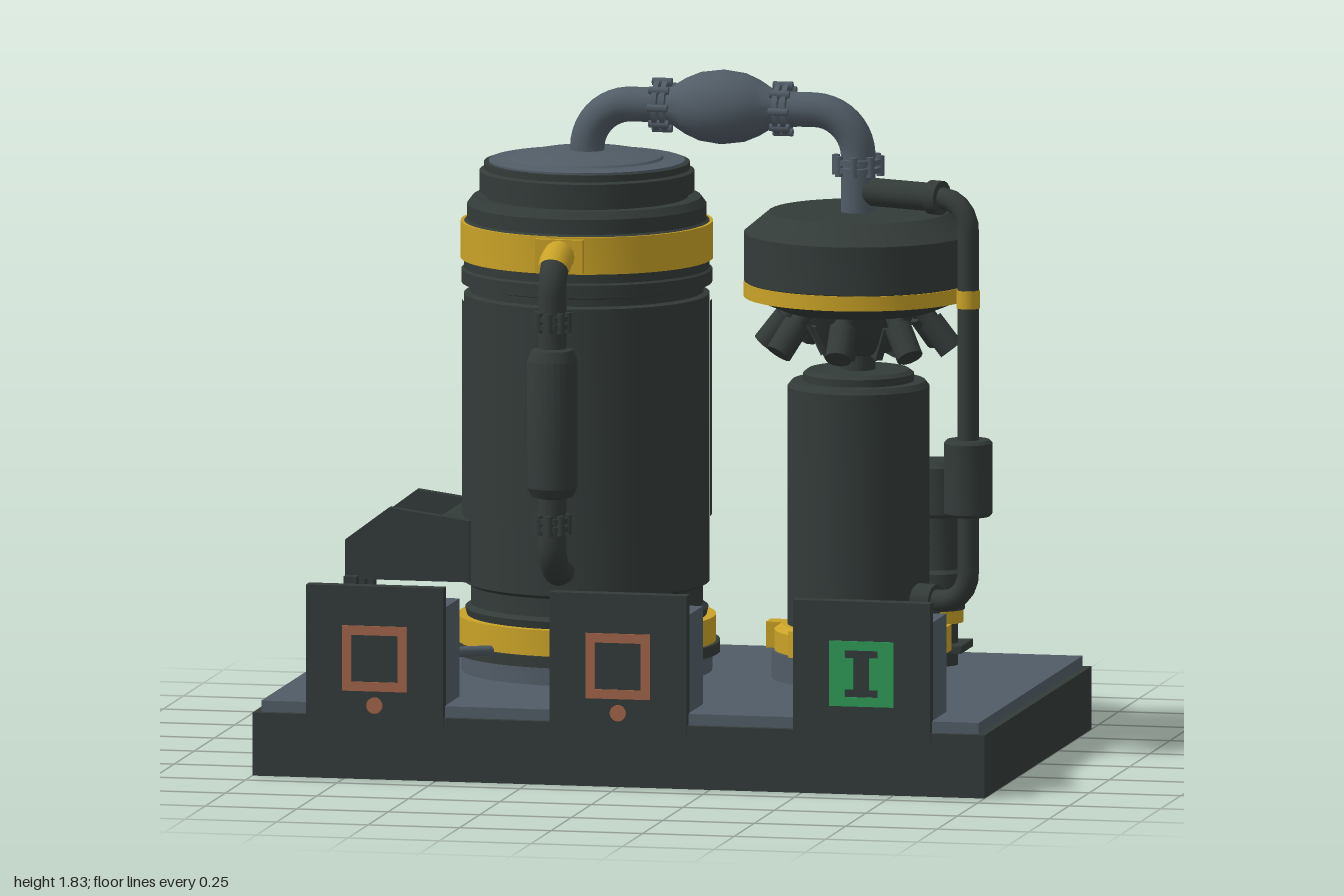
import * as THREE from 'three';
import { toCreasedNormals } from 'three/addons/utils/BufferGeometryUtils.js';

const V = (x, y, z) => new THREE.Vector3(x, y, z);
const UP = V(0, 1, 0);
const material = (name, color) => Object.assign(new THREE.MeshStandardMaterial({ color }), { name });

export function createModel() {
  const dark = material('dark iron', 0x333b39);
  const slate = material('slate steel', 0x515c66);
  const yellow = material('yellow paint', 0xc9a227);
  const copper = material('copper mark', 0xa0654a);
  const green = material('green mark', 0x2f9a58);
  const root = new THREE.Group();
  root.name = 'twinTankPlant';

  const group = (name, x = 0, y = 0, z = 0, parent = root) => {
    const g = new THREE.Group();
    g.name = name;
    g.position.set(x, y, z);
    parent.add(g);
    return g;
  };
  const add = (parent, name, geo, mat) => {
    const m = new THREE.Mesh(geo, mat);
    m.name = name;
    parent.add(m);
    return m;
  };
  const box = (parent, name, mat, w, h, d, x, y, z) => {
    const m = add(parent, name, new THREE.BoxGeometry(w, h, d), mat);
    m.position.set(x, y, z);
    return m;
  };
  // turned part from [radius, height] pairs, bottom to top
  const turn = (parent, name, mat, profile, sides = 48) => {
    const pts = profile.map(([r, y]) => new THREE.Vector2(r, y));
    return add(parent, name, toCreasedNormals(new THREE.LatheGeometry(pts, sides), 0.45), mat);
  };
  // closed cylinder between two points
  const rod = (parent, name, mat, a, b, r, sides = 20) => {
    const d = b.clone().sub(a);
    const m = add(parent, name, new THREE.CylinderGeometry(r, r, d.length(), sides), mat);
    m.position.copy(a).addScaledVector(d, 0.5);
    m.quaternion.setFromUnitVectors(UP, d.normalize());
    return m;
  };
  // tube along straight runs joined by round bends
  const pipe = (parent, name, mat, pts, r, bend) => {
    const path = new THREE.CurvePath();
    let from = pts[0];
    for (let i = 1; i < pts.length - 1; i++) {
      const p = pts[i];
      const a = p.clone().addScaledVector(pts[i - 1].clone().sub(p).normalize(), bend);
      const b = p.clone().addScaledVector(pts[i + 1].clone().sub(p).normalize(), bend);
      path.add(new THREE.LineCurve3(from, a));
      path.add(new THREE.CubicBezierCurve3(a, a.clone().lerp(p, 0.55), b.clone().lerp(p, 0.55), b));
      from = b;
    }
    path.add(new THREE.LineCurve3(from, pts[pts.length - 1]));
    return add(parent, name, new THREE.TubeGeometry(path, 60, r, 16), mat);
  };
  // double flange ringed with bolts
  const flange = (parent, name, mat, pos, dir, r) => {
    const g = group(name, pos.x, pos.y, pos.z, parent);
    g.quaternion.setFromUnitVectors(UP, dir);
    for (const s of [-1, 1]) rod(g, 'flangeDisc', mat, V(0, s * 0.004, 0), V(0, s * 0.018, 0), r, 24);
    for (let i = 0; i < 8; i++) {
      const a = (i * Math.PI) / 4, x = Math.cos(a) * r * 0.93, z = Math.sin(a) * r * 0.93;
      rod(g, 'bolt', mat, V(x, -0.027, z), V(x, 0.027, z), 0.011, 6);
    }
  };

  // base
  box(root, 'basePlinth', dark, 2, 0.17, 1.33, 0, 0.085, 0);
  box(root, 'deckPlate', slate, 1.96, 0.03, 1.29, 0, 0.185, 0);

  // main tank
  const tank = group('mainTank', -0.26, 0, -0.125);
  turn(tank, 'tankPedestal', slate, [[0, 0.2], [0.335, 0.2], [0.335, 0.25], [0, 0.25]]);
  turn(tank, 'footFlange', dark, [[0, 0.25], [0.356, 0.25], [0.356, 0.28], [0, 0.28]]);
  turn(tank, 'lowerBand', yellow, [[0, 0.28], [0.345, 0.28], [0.345, 0.35], [0, 0.35]]);
  turn(tank, 'tankBody', dark, [[0.32, 0.35], [0.325, 0.37], [0.31, 0.38], [0.31, 0.43], [0.328, 0.44],
    [0.328, 1.215], [0.312, 1.22], [0.312, 1.24], [0.335, 1.245], [0.335, 1.28], [0.328, 1.285], [0.328, 1.41],
    [0.32, 1.415], [0.32, 1.455], [0.305, 1.475], [0.27, 1.475], [0.27, 1.49], [0.287, 1.49], [0.287, 1.545],
    [0.275, 1.55], [0.275, 1.568], [0, 1.568]]);
  turn(tank, 'upperBand', yellow, [[0.32, 1.31], [0.337, 1.31], [0.337, 1.41], [0.32, 1.41]]);
  turn(tank, 'tankLid', slate, [[0.262, 1.56], [0.262, 1.573], [0.205, 1.577], [0.2, 1.583], [0.13, 1.597], [0, 1.6]]);
  for (let i = 0; i < 4; i++) {
    const start = (i * Math.PI) / 2 + (i % 2 ? 0.04 : 0.35);
    const g = new THREE.CylinderGeometry(0.334, 0.334, 0.58, 16, 1, true, start, 1.18);
    const m = add(tank, 'wallPanel', g, dark);
    m.position.y = 0.91;
  }

  // bypass lines on the front and back of the tank
  for (const turnY of [0, Math.PI]) {
    const line = group(turnY ? 'backBypass' : 'frontBypass', 0, 0, 0, tank);
    line.rotation.y = turnY;
    const z = 0.43;
    pipe(line, 'bypassPipe', dark, [V(0, 1.36, 0.3), V(0, 1.36, z), V(0, 0.51, z), V(0, 0.51, 0.3)], 0.038, 0.09);
    pipe(line, 'yellowElbow', yellow, [V(0, 1.36, 0.3), V(0, 1.36, 0.375), V(0, 1.33, 0.42)], 0.043, 0.03);
    box(line, 'inletPlate', yellow, 0.13, 0.09, 0.04, 0, 1.36, 0.33);
    turn(line, 'bypassFilter', dark, [[0.035, 0.72], [0.055, 0.725], [0.068, 0.75], [0.068, 1.09], [0.055, 1.12], [0.035, 1.125]], 24)
      .position.z = z;
    for (const y of [0.65, 1.195]) flange(line, 'bypassFlange', dark, V(0, y, z), UP, 0.045);
  }

  // overhead transfer line with its valve bulb
  const over = group('transferLine', 0, 0, -0.13);
  pipe(over, 'transferPipe', slate, [V(-0.26, 1.57, 0), V(-0.26, 1.725, 0), V(0.48, 1.725, 0), V(0.48, 1.45, 0)], 0.047, 0.12);
  const bulb = turn(over, 'valveBulb', slate, [[0.045, -0.17], [0.05, -0.14], [0.075, -0.1], [0.092, -0.06], [0.1, 0],
    [0.092, 0.06], [0.075, 0.1], [0.05, 0.14], [0.045, 0.17]], 32);
  bulb.position.set(0.11, 1.725, 0);
  bulb.rotation.z = -Math.PI / 2;
  for (const x of [-0.055, 0.275]) flange(over, 'lineFlange', slate, V(x, 1.725, 0), V(1, 0, 0), 0.068);
  flange(over, 'downFlange', slate, V(0.48, 1.58, 0), UP, 0.065);
  rod(over, 'valveNozzle', slate, V(0.11, 1.725, 0), V(0.11, 1.725, -0.165), 0.045);
  flange(over, 'nozzleFlange', slate, V(0.11, 1.725, -0.145), V(0, 0, -1), 0.065);

  // second tower
  const tower = group('tower', 0.48, 0, -0.135);
  turn(tower, 'towerPedestal', slate, [[0, 0.2], [0.232, 0.2], [0.232, 0.275], [0, 0.275]]);
  turn(tower, 'towerBand', yellow, [[0, 0.275], [0.225, 0.275], [0.225, 0.33], [0.205, 0.345], [0, 0.345]]);
  for (let i = 0; i < 6; i++) {
    const a = (i * Math.PI) / 3 + Math.PI / 6;
    box(tower, 'bandClamp', yellow, 0.06, 0.07, 0.05, Math.sin(a) * 0.222, 0.31, Math.cos(a) * 0.222).rotation.y = a;
  }
  turn(tower, 'towerColumn', dark, [[0.19, 0.34], [0.19, 0.985], [0.178, 1.0], [0.148, 1.0], [0.148, 1.02], [0.135, 1.03],
    [0.045, 1.03], [0.045, 1.07], [0.09, 1.08], [0.11, 1.1], [0.16, 1.2]]);
  turn(tower, 'towerHead', dark, [[0, 1.19], [0.2, 1.19], [0.285, 1.225], [0.298, 1.23], [0.298, 1.265], [0.306, 1.27],
    [0.306, 1.4], [0.24, 1.455], [0, 1.455]]);
  turn(tower, 'headBand', yellow, [[0.285, 1.228], [0.307, 1.228], [0.307, 1.268], [0.285, 1.268]]);
  for (let i = 0; i < 8; i++) {
    const arm = group('sprayNozzle', 0, 0, 0, tower);
    arm.rotation.y = (i * Math.PI) / 4;
    rod(arm, 'nozzleStem', dark, V(0, 1.21, 0.16), V(0, 1.14, 0.215), 0.024, 12);
    rod(arm, 'nozzleCap', dark, V(0, 1.165, 0.195), V(0, 1.09, 0.254), 0.036, 12);
    box(arm, 'hubRib', dark, 0.022, 0.1, 0.05, 0, 1.12, 0.1).rotation.x = 0.45;
  }

  // side return pipe from head to column
  const ret = group('returnLine', 0, 0, 0, tower);
  const ox = 0.325, oz = 0.115;
  pipe(ret, 'returnPipe', dark, [V(0, 1.51, 0), V(ox, 1.51, oz), V(ox, 0.425, oz), V(0.1, 0.425, 0.035)], 0.029, 0.08);
  rod(ret, 'upperSleeve', dark, V(0, 1.51, 0), V(ox * 0.68, 1.51, oz * 0.68), 0.038);
  rod(ret, 'upperCollar', dark, V(ox * 0.66, 1.51, oz * 0.66), V(ox * 0.76, 1.51, oz * 0.76), 0.046);
  rod(ret, 'lowerSleeve', dark, V(0.12, 0.425, 0.042), V(0.23, 0.425, 0.081), 0.042);
  rod(ret, 'yellowCollar', yellow, V(ox, 1.22, oz), V(ox, 1.268, oz), 0.032);
  turn(ret, 'returnFilter', dark, [[0, 0.66], [0.058, 0.66], [0.065, 0.668], [0.065, 0.857], [0.058, 0.865], [0, 0.865]], 24)
    .position.set(ox, 0, oz);

  // pump beside the tower
  const pump = group('pump', 0.64, 0, -0.412);
  turn(pump, 'pumpStand', dark, [[0, 0.2], [0.05, 0.2], [0.05, 0.315], [0, 0.315]], 24);
  box(pump, 'pumpFoot', dark, 0.15, 0.02, 0.15, 0, 0.25, 0);
  turn(pump, 'pumpFootRing', yellow, [[0, 0.315], [0.064, 0.315], [0.064, 0.35], [0, 0.35]], 24);
  turn(pump, 'pumpBody', dark, [[0.068, 0.35], [0.068, 0.45], [0.058, 0.46], [0.058, 0.6], [0.068, 0.61], [0.068, 0.735],
    [0.055, 0.752], [0, 0.752]], 24);
  for (const y of [0.52, 0.565]) rod(pump, 'pumpBracket', dark, V(0, y, 0), V(-0.1, y, 0.18), 0.016, 12);

  // feed chute on legs
  const chute = group('feedChute');
  const side = new THREE.Shape([[-0.88, 0.45], [-0.54, 0.45], [-0.54, 0.615], [-0.76, 0.645], [-0.88, 0.555]]
    .map(([x, y]) => new THREE.Vector2(x, y)));
  for (const z of [-0.31, 0.035])
    add(chute, 'chuteSide', new THREE.ExtrudeGeometry(side, { depth: 0.027, bevelEnabled: false }), dark).position.z = z;
  box(chute, 'chuteFloor', dark, 0.34, 0.03, 0.33, -0.71, 0.465, -0.123);
  box(chute, 'chuteBackWall', dark, 0.1, 0.155, 0.33, -0.59, 0.535, -0.123);
  for (const z of [-0.14, -0.03, 0.075]) {
    box(chute, 'chuteLeg', dark, 0.035, 0.26, 0.035, -0.86, 0.33, z);
    box(chute, 'chuteLegFoot', dark, 0.065, 0.02, 0.065, -0.86, 0.21, z);
  }

  // control stations with square marks, clamped cables
  const square = (h) => [[-h, -h], [h, -h], [h, h], [-h, h]].map(([x, y]) => new THREE.Vector2(x, y));
  const ring = new THREE.Shape(square(0.088));
  ring.holes.push(new THREE.Path(square(0.063)));
  const cables = [
    [[-0.67, 0.335, 0.46], [-0.67, 0.31, 0.32], [-0.57, 0.29, 0.27], [-0.44, 0.28, 0.13]],
    [[0, 0.335, 0.46], [0, 0.31, 0.32], [-0.05, 0.29, 0.24], [-0.13, 0.28, 0.15]],
    [[0.66, 0.335, 0.46], [0.66, 0.31, 0.25], [0.62, 0.29, 0.16], [0.56, 0.28, 0.02]],
  ];
  [-0.665, 0, 0.665].forEach((x, i) => {
    const unit = group('controlStation', x);
    const mark = i === 2 ? green : copper;
    box(unit, 'frontPlate', dark, 0.374, 0.375, 0.04, 0, 0.333, 0.65);
    box(unit, 'stationCase', slate, 0.37, 0.265, 0.175, 0, 0.332, 0.545);
    const frame = add(unit, 'squareMark', new THREE.ExtrudeGeometry(ring, { depth: 0.004, bevelEnabled: false }), mark);
    frame.position.set(0, 0.326, 0.67);
    if (i === 2) {
      for (const s of [-1, 1]) {
        box(unit, 'markTab', mark, 0.028, 0.085, 0.004, s * 0.036, 0.326, 0.672);
        box(unit, 'markEdge', mark, 0.02, 0.126, 0.004, s * 0.055, 0.326, 0.672);
      }
    } else {
      rod(unit, 'dotMark', mark, V(0, 0.2, 0.67), V(0, 0.2, 0.674), 0.022);
    }
    const pts = cables[i].map((p) => V(...p));
    const cable = group('cable');
    pipe(cable, 'cableTube', slate, pts, 0.014, 0.04);
    rod(cable, 'cablePlug', yellow, V(pts[0].x, 0.337, 0.465), V(pts[0].x, 0.331, 0.43), 0.02, 12);
    const c = pts[2], dir = pts[3].clone().sub(pts[1]).normalize();
    rod(cable, 'cableClamp', yellow, c.clone().addScaledVector(dir, -0.02), c.clone().addScaledVector(dir, 0.02), 0.02, 12);
    box(cable, 'cablePost', dark, 0.03, 0.08, 0.03, c.x, 0.24, c.z);
  });

  return root;
}
